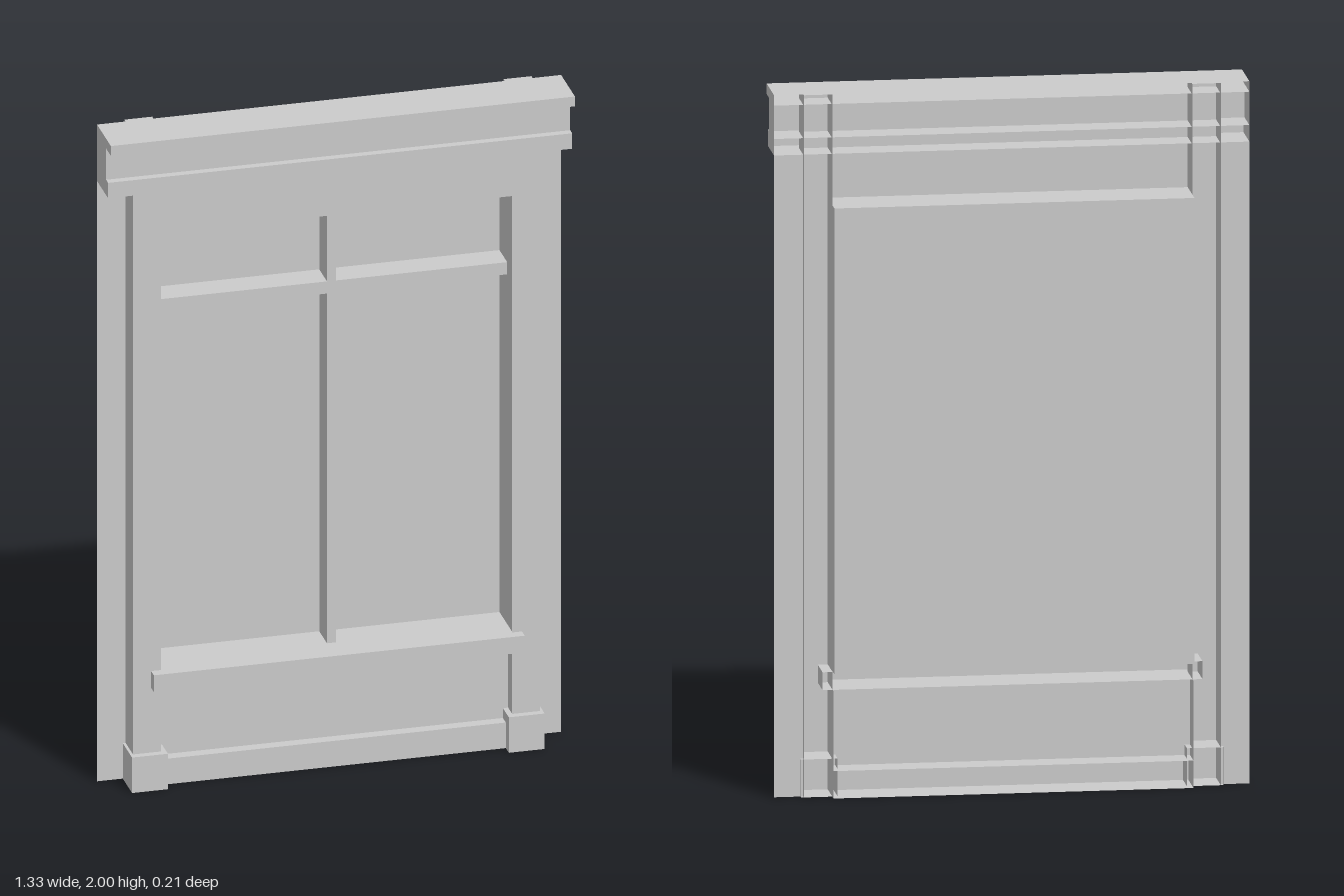
import * as THREE from 'three';

const material = new THREE.MeshStandardMaterial({ color: 0xcccccc, side: THREE.DoubleSide });
const FACES = ['right', 'left', 'top', 'bottom', 'front', 'back'];

// Thin shell of a box given by its ranges, with the named faces left open.
function shell(name, [x0, x1], [y0, y1], [z0, z1], open = ['back']) {
  const geo = new THREE.BoxGeometry(x1 - x0, y1 - y0, z1 - z0);
  const index = Array.from(geo.index.array);
  geo.setIndex(index.filter((_, i) => !open.includes(FACES[Math.floor(i / 6)])));
  geo.clearGroups();
  const mesh = new THREE.Mesh(geo, material);
  mesh.name = name;
  mesh.position.set((x0 + x1) / 2, (y0 + y1) / 2, (z0 + z1) / 2);
  return mesh;
}

// Flat rectangle facing the front.
function panel(name, [x0, x1], [y0, y1], z) {
  const mesh = new THREE.Mesh(new THREE.PlaneGeometry(x1 - x0, y1 - y0), material);
  mesh.name = name;
  mesh.position.set((x0 + x1) / 2, (y0 + y1) / 2, z);
  return mesh;
}

export function createModel() {
  const group = new THREE.Group();
  group.name = 'windowBay';
  const half = 0.505;          // half width of the opening
  const outer = 0.667;         // half width of the whole bay
  const sym = (w) => [-w, w];

  // Cornice in three stacked, open-backed bands
  [
    ['corniceCap', 1.97, 2, 0.105],
    ['frieze', 1.875, 1.97, 0.053],
    ['corniceMoulding', 1.828, 1.875, 0.075],
  ].forEach(([name, y0, y1, z]) => group.add(shell(name, sym(outer), [y0, y1], [-0.047, z])));

  // Pilasters, plinth blocks and wall strips on both sides
  for (const s of [1, -1]) {
    const side = s > 0 ? 'left' : 'right';
    const range = (a, b) => (s > 0 ? [a, b] : [-b, -a]);
    group.add(
      shell(side + 'Pilaster', range(half, 0.585), [0, 2], [-0.06, 0.035]),
      shell(side + 'Plinth', range(0.49, 0.593), [0, 0.108], [-0.06, 0.055]),
      panel(side + 'WallStrip', range(0.585, outer), [0, 1.828], -0.047),
    );
  }

  // Head above the opening
  group.add(panel('head', sym(half), [1.685, 1.9], 0.035));

  // Window recess: reveals and glass, open to the front
  group.add(shell('windowRecess', sym(half), [0.358, 1.685], [-0.105, 0.035], ['front']));

  // Glazing bars
  const barFront = -0.02;
  group.add(
    shell('verticalBar', sym(0.013), [0.358, 1.685], [-0.105, barFront]),
    shell('crossBar', sym(half), [1.423, 1.46], [-0.105, barFront]),
  );

  // Sill
  group.add(shell('sill', sym(0.533), [0.305, 0.356], [-0.065, 0.065]));

  // Apron below the sill with its bottom rail
  group.add(
    shell('apronReveals', sym(half), [0, 0.305], [-0.085, 0.035], ['front', 'back', 'bottom', 'top']),
    panel('apronPanel', sym(half), [0.078, 0.305], -0.01),
    shell('bottomRail', sym(half), [0, 0.078], [-0.085, 0.022]),
  );
  return group;
}
